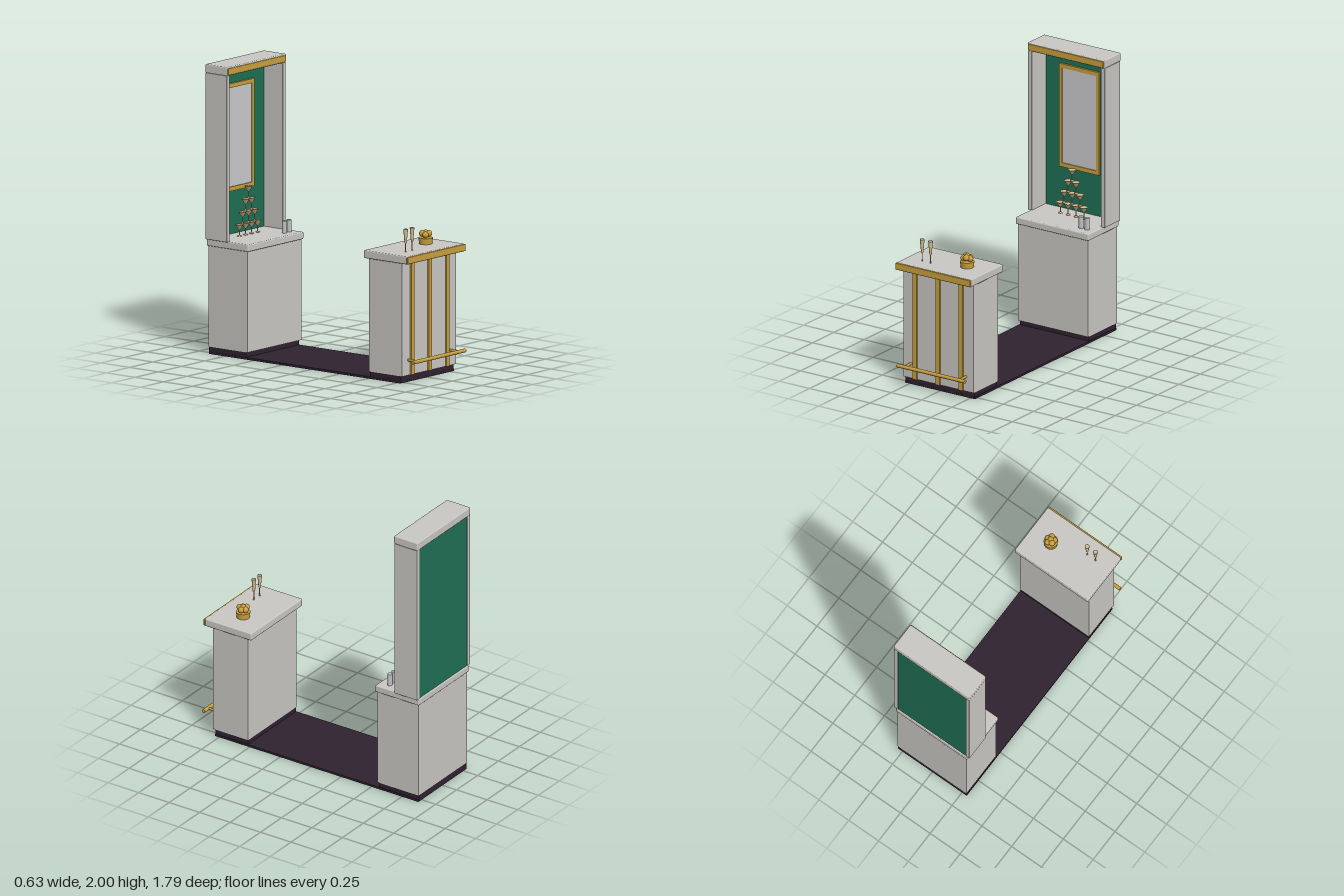
import * as THREE from 'three';
import { RoundedBoxGeometry } from 'three/addons/geometries/RoundedBoxGeometry.js';

const paint = (name, color) => {
  const m = new THREE.MeshStandardMaterial({ color });
  m.name = name;
  return m;
};

export function createModel() {
  const model = new THREE.Group();
  model.name = 'cocktailBar';

  const stone = paint('pale stone', 0xcac8c3);
  const gold = paint('brass', 0xc9a03f);
  const dark = paint('dark plum', 0x2f2230);
  const green = paint('emerald', 0x1f7054);
  const mirrorGrey = paint('mirror grey', 0xcbcbcd);
  const champagne = paint('champagne', 0xd2bd90);
  const silver = paint('silver', 0xbfc1c3);
  champagne.side = THREE.DoubleSide;

  const add = (name, geometry, material, x = 0, y = 0, z = 0, parent = model) => {
    const mesh = new THREE.Mesh(geometry, material);
    mesh.name = name;
    mesh.position.set(x, y, z);
    parent.add(mesh);
    return mesh;
  };
  // Box given by its limits; r > 0 rounds the edges
  const box = (name, mat, [x0, x1], [y0, y1], [z0, z1], r = 0) => {
    const s = [x1 - x0, y1 - y0, z1 - z0];
    const g = r ? new RoundedBoxGeometry(...s, 2, r) : new THREE.BoxGeometry(...s);
    return add(name, g, mat, (x0 + x1) / 2, (y0 + y1) / 2, (z0 + z1) / 2);
  };
  const lathe = (points, segments = 20) =>
    new THREE.LatheGeometry(points.map(([r, y]) => new THREE.Vector2(r, y)), segments);

  // Floor runner joining the two counters
  box('floor', dark, [-0.289, 0.289], [0, 0.015], [-0.885, 0.782]);

  // Front bar
  box('barPlinth', dark, [-0.285, 0.285], [0.002, 0.05], [0.515, 0.781]);
  box('barBody', stone, [-0.29, 0.29], [0.05, 0.832], [0.511, 0.799]);
  box('barTop', stone, [-0.307, 0.307], [0.83, 0.885], [0.475, 0.856], 0.008);
  box('barTopTrim', gold, [-0.31, 0.31], [0.833, 0.882], [0.852, 0.866], 0.005);
  for (const x of [-0.189, 0, 0.189])
    box('barStrip', gold, [x - 0.016, x + 0.016], [0.05, 0.832], [0.798, 0.811]);

  // Foot rail on two brackets
  const rail = add('footRail', new THREE.CylinderGeometry(0.013, 0.013, 0.56, 16), gold, 0, 0.155, 0.884);
  rail.rotation.z = Math.PI / 2;
  for (const x of [-0.226, 0.226]) {
    const bracket = add('railBracket', new THREE.CylinderGeometry(0.009, 0.009, 0.086, 12), gold, x, 0.155, 0.841);
    bracket.rotation.x = Math.PI / 2;
  }

  // Back counter
  box('backPlinth', dark, [-0.285, 0.285], [0.002, 0.05], [-0.886, -0.565]);
  box('backBody', stone, [-0.29, 0.29], [0.05, 0.747], [-0.888, -0.549]);
  box('backTop', stone, [-0.3, 0.3], [0.745, 0.795], [-0.897, -0.537], 0.008);

  // Tall display: back panel, side walls, cornice
  box('backPanel', green, [-0.287, 0.287], [0.795, 1.945], [-0.889, -0.872]);
  for (const s of [-1, 1])
    box('sideWall', stone, [s * 0.301 - 0.016, s * 0.301 + 0.016], [0.793, 1.942], [-0.893, -0.707], 0.004);
  box('cornice', stone, [-0.317, 0.317], [1.939, 2], [-0.897, -0.703], 0.008);
  box('corniceTrim', gold, [-0.312, 0.312], [1.946, 1.991], [-0.71, -0.698], 0.004);

  // Framed mirror
  for (const s of [-1, 1]) {
    box('mirrorFrameSide', gold, [s * 0.152 - 0.012, s * 0.152 + 0.012], [1.094, 1.835], [-0.873, -0.857]);
    const y = 1.4645 + s * 0.356;
    box('mirrorFrameRail', gold, [-0.14, 0.14], [y - 0.0145, y + 0.0145], [-0.873, -0.857]);
  }
  box('mirror', mirrorGrey, [-0.141, 0.141], [1.12, 1.808], [-0.873, -0.864]);

  // Pyramid of coupe glasses: four, three, two, one
  const coupe = lathe([[0, 0], [0.016, 0], [0.015, 0.003], [0.0035, 0.008], [0.0035, 0.045],
    [0.012, 0.054], [0.029, 0.083], [0.027, 0.08], [0, 0.076]]);
  const tower = new THREE.Group();
  tower.name = 'glassTower';
  model.add(tower);
  for (let row = 0; row < 4; row++)
    for (let i = 0; i < 4 - row; i++)
      add('coupeGlass', coupe, champagne, (i - (3 - row) / 2) * 0.065, 0.795 + row * 0.0835, -0.775, tower);

  // Two tumblers on the back counter
  for (const x of [0.187, 0.237])
    add('tumbler', new THREE.CylinderGeometry(0.017, 0.017, 0.084, 20), silver, x, 0.837, -0.615);

  // Two flutes on the bar
  const flute = lathe([[0, 0], [0.006, 0], [0.003, 0.004], [0.003, 0.055], [0.008, 0.064],
    [0.016, 0.157], [0.014, 0.155], [0, 0.153]]);
  for (const x of [-0.178, -0.109]) add('fluteGlass', flute, champagne, x, 0.885, 0.738);

  // Bowl heaped with round fruit
  const bowl = new THREE.Group();
  bowl.name = 'fruitBowl';
  bowl.position.set(0.137, 0.885, 0.657);
  model.add(bowl);
  add('bowl', new THREE.CylinderGeometry(0.049, 0.045, 0.042, 24), gold, 0, 0.021, 0, bowl);
  const fruit = new THREE.SphereGeometry(0.022, 16, 12);
  for (let i = 0; i < 5; i++) {
    const a = (i / 5) * Math.PI * 2;
    add('fruit', fruit, gold, 0.024 * Math.cos(a), 0.064 + (i % 2) * 0.008, 0.024 * Math.sin(a), bowl);
  }
  add('fruit', fruit, gold, 0, 0.075, 0, bowl);

  return model;
}
